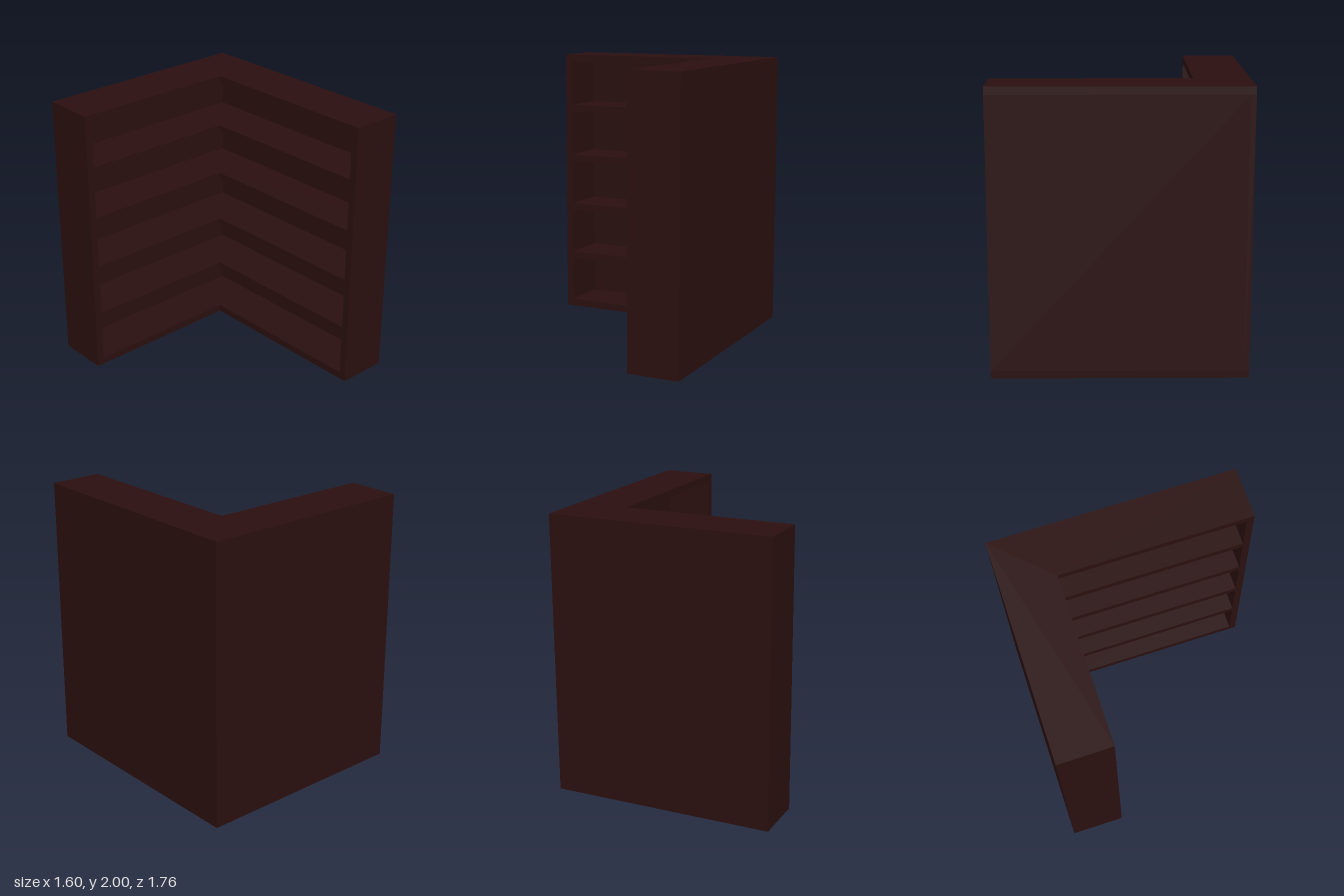
import * as THREE from 'three';

const X = 0.8, Z = 0.88, H = 2;          // half width, half depth, height
const IN_X = 0.425, IN_Z = -0.495;       // inner faces of the two wings
const T = 0.053, BACK = 0.035;           // board and back panel thickness
const ROWS = 5;

export function createModel() {
  const group = new THREE.Group();
  const wood = new THREE.MeshStandardMaterial({ color: 0x2a0f0f });

  const add = (name, geometry) => {
    const mesh = new THREE.Mesh(geometry, wood);
    mesh.name = name;
    group.add(mesh);
    return mesh;
  };

  // L-shaped board lying flat, trimmed at the wing ends and at the backs
  const board = (name, y, endTrim, backTrim) => {
    const l = -X + endTrim, r = X - backTrim, b = Z - backTrim, f = -Z + endTrim;
    const shape = new THREE.Shape([
      [l, b], [l, -IN_Z], [IN_X, -IN_Z], [IN_X, f], [r, f], [r, b],
    ].map(([x, y]) => new THREE.Vector2(x, y)));
    const geometry = new THREE.ExtrudeGeometry(shape, { depth: T, bevelEnabled: false });
    geometry.rotateX(-Math.PI / 2);
    add(name, geometry).position.y = y;
  };

  // Upright panel between the bottom and top boards
  const panel = (name, x0, x1, z0, z1) => {
    const mesh = add(name, new THREE.BoxGeometry(x1 - x0, H - 2 * T, z1 - z0));
    mesh.position.set((x0 + x1) / 2, H / 2, (z0 + z1) / 2);
  };

  board('bottomBoard', 0, 0, 0);
  board('topBoard', H - T, 0, 0);
  for (let i = 1; i < ROWS; i++) board('shelf' + i, i * (H - T) / ROWS, T, BACK);

  // Backs of both wings
  panel('rearWingBack', -X, X, -Z, -Z + BACK);
  panel('sideWingBack', X - BACK, X, -Z + BACK, Z);

  // End panels closing the wings
  panel('rearWingEnd', -X, -X + T, -Z + BACK, IN_Z);
  panel('sideWingEnd', IN_X, X - BACK, Z - T, Z);

  return group;
}
